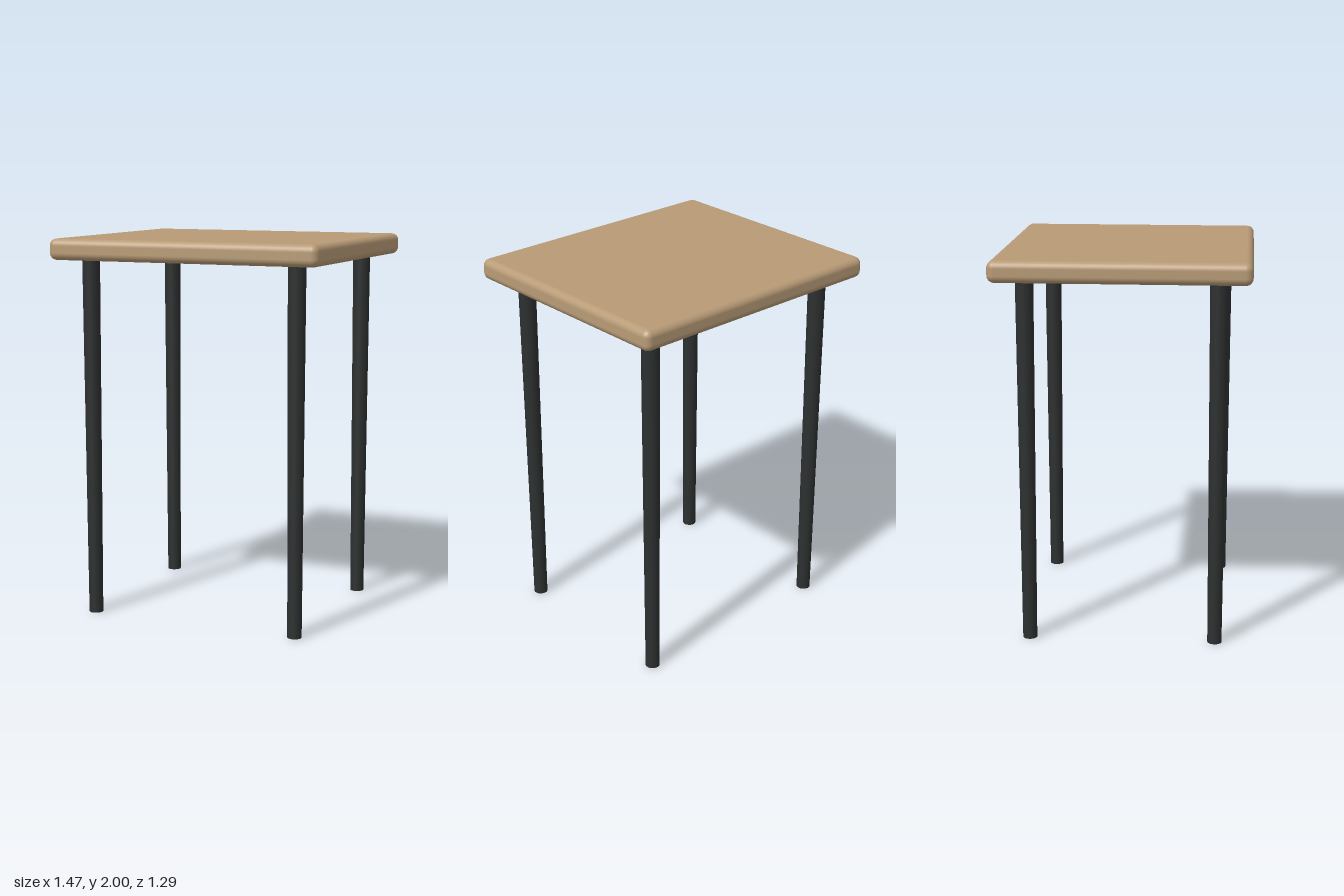
import * as THREE from 'three';
import { RoundedBoxGeometry } from 'three/addons/geometries/RoundedBoxGeometry.js';

export function createModel() {
  const model = new THREE.Group();
  model.name = 'sideTable';
  const wood = new THREE.MeshStandardMaterial({ color: 0xb89b76 });
  const metal = new THREE.MeshStandardMaterial({ color: 0x2d3030 });

  // Slab with rounded edges
  const thickness = 0.11;
  const top = new THREE.Mesh(new RoundedBoxGeometry(1.474, thickness, 1.294, 5, 0.037), wood);
  top.name = 'tableTop';
  top.position.y = 2 - thickness / 2;
  model.add(top);

  // Four round legs, slightly tapered towards the floor
  const legHeight = 2 - thickness;
  const legGeometry = new THREE.CylinderGeometry(0.046, 0.037, legHeight, 24);
  for (const [sz, end] of [[1, 'front'], [-1, 'back']]) {
    for (const [sx, side] of [[1, 'Left'], [-1, 'Right']]) {
      const leg = new THREE.Mesh(legGeometry, metal);
      leg.name = `${end}${side}Leg`;
      leg.position.set(sx * 0.573, legHeight / 2, sz * 0.482);
      model.add(leg);
    }
  }
  return model;
}
